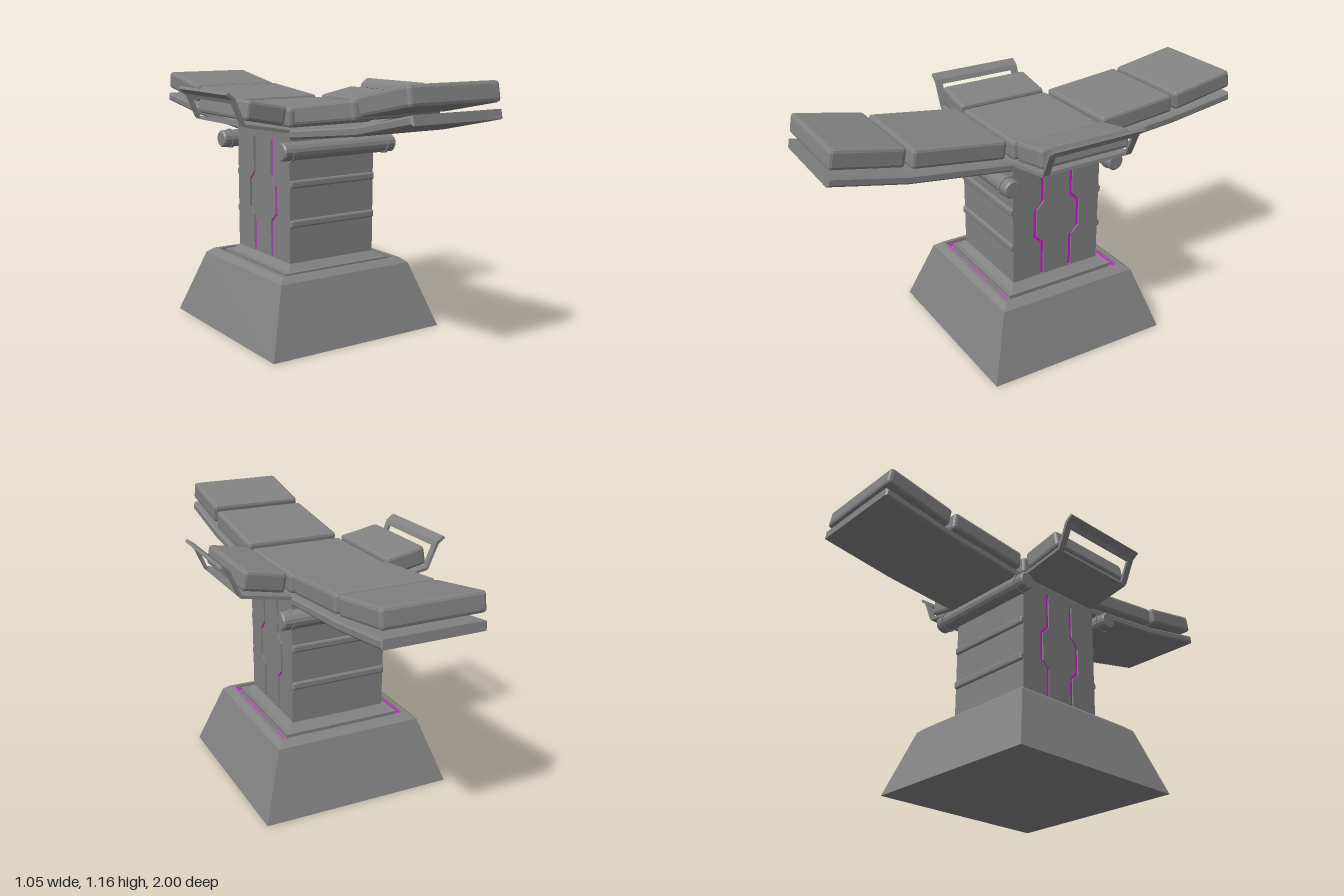
import * as THREE from 'three';
import { RoundedBoxGeometry } from 'three/addons/geometries/RoundedBoxGeometry.js';

const CZ = -0.025; // pedestal centre in z
const HALF = 0.223; // half width of column and bed

export function createModel() {
  const root = new THREE.Group();
  root.name = 'recliner';
  root.position.x = -0.0045;

  const grey = new THREE.MeshStandardMaterial({ color: 0x828282, flatShading: true });
  const glow = new THREE.MeshStandardMaterial({ color: 0xdd0fdd, flatShading: true });

  function add(parent, name, geometry, material = grey) {
    const mesh = new THREE.Mesh(geometry, material);
    mesh.name = name;
    parent.add(mesh);
    return mesh;
  }

  const toPoints = (list) => list.map(([x, y]) => new THREE.Vector2(x, y));

  // Extrusion centred on its depth
  function extrude(shape, width, bevel = 0) {
    const g = new THREE.ExtrudeGeometry(shape, {
      depth: width - 2 * bevel, bevelEnabled: bevel > 0, bevelSize: bevel,
      bevelOffset: -bevel, bevelThickness: bevel, bevelSegments: 1,
    });
    return g.translate(0, 0, -(width - 2 * bevel) / 2);
  }

  // Bent sheet of even thickness following a centre line
  function sheet(list, thickness, width, bevel = 0) {
    const p = toPoints(list);
    const upper = [], lower = [];
    p.forEach((pt, i) => {
      const dir = p[Math.min(i + 1, p.length - 1)].clone().sub(p[Math.max(i - 1, 0)]).normalize();
      const n = new THREE.Vector2(-dir.y, dir.x).multiplyScalar(thickness / 2);
      upper.unshift(pt.clone().add(n));
      lower.push(pt.clone().sub(n));
    });
    return extrude(new THREE.Shape([...lower, ...upper]), width, bevel);
  }

  // Stepped square base with a narrow channel around the column
  const profile = [[0, 0], [0.442, 0], [0.341, 0.293], [0.313, 0.315], [0.296, 0.315],
    [0.296, 0.298], [0.272, 0.298], [0.272, 0.315], [0.25, 0.315], [HALF, 0.342], [0, 0.342]];
  const base = add(root, 'base', new THREE.LatheGeometry(
    toPoints(profile.map(([r, y]) => [r * Math.SQRT2, y])), 4, Math.PI / 4));
  base.position.z = CZ;

  // Light strips lying in the base channel
  for (let i = 0; i < 4; i++) {
    const strip = new THREE.BoxGeometry(0.012, 0.006, 0.59).translate(0.289, 0.299, 0);
    const light = add(root, 'baseLight', strip, glow);
    light.position.z = CZ;
    light.rotation.y = i * Math.PI / 2;
  }

  // Column with two stepped slots through it, filled by slightly recessed lights
  const column = new THREE.Shape(toPoints([[-HALF, 0.335], [HALF, 0.335], [HALF, 0.9], [-HALF, 0.9]]));
  const path = [[0.074, 0.345], [0.074, 0.505], [0.111, 0.54], [0.111, 0.67], [0.074, 0.71], [0.074, 0.87]];
  for (const s of [-1, 1]) {
    const w = 0.008;
    const slot = toPoints([
      ...path.map(([z, y]) => [s * (z + w), y]),
      ...path.map(([z, y]) => [s * (z - w), y]).reverse(),
    ]);
    column.holes.push(new THREE.Path(slot));
    const light = add(root, 'columnLight',
      extrude(new THREE.Shape(slot), 2 * HALF - 0.014).rotateY(-Math.PI / 2), glow);
    light.position.z = CZ;
  }
  add(root, 'column', extrude(column, 2 * HALF).rotateY(-Math.PI / 2)).position.z = CZ;

  // Ribs and side rollers on the front and back of the column
  const rollerProfile = toPoints([[0, -0.293], [0.034, -0.293], [0.04, -0.286],
    [0.04, 0.286], [0.034, 0.293], [0, 0.293]]);
  for (const s of [-1, 1]) {
    for (const y of [0.518, 0.692]) {
      const rib = add(root, 'columnRib', new RoundedBoxGeometry(2 * HALF, 0.034, 0.034, 1, 0.008));
      rib.position.set(0, y, CZ + s * (HALF - 0.004));
    }
    const roller = new THREE.Group();
    roller.name = 'roller';
    roller.position.set(0, 0.843, CZ + s * 0.263);
    roller.rotation.z = Math.PI / 2;
    add(roller, 'rollerBar', new THREE.LatheGeometry(rollerProfile, 16));
    for (const t of [-1, 1]) {
      add(roller, 'rollerRing', new THREE.CylinderGeometry(0.045, 0.045, 0.012, 16)).position.y = t * 0.247;
    }
    root.add(roller);
  }

  // Bent bed plate running front to back
  add(root, 'bedPlate', sheet([[-0.997, 0.988], [-0.66, 0.942], [-0.247, 0.907],
    [0.2, 0.907], [0.667, 0.968], [0.996, 1.04]], 0.039, 2 * HALF, 0.008).rotateY(-Math.PI / 2));

  // Chamfered cushions: start and end of each centre line as z, y
  const cushions = [
    ['seatCushion', -0.243, 0.977, 0.194, 0.977],
    ['frontCushion', 0.226, 0.991, 0.648, 1.049],
    ['frontEndCushion', 0.673, 1.064, 0.98, 1.126],
    ['backCushion', -0.26, 0.986, -0.645, 1.022],
    ['backEndCushion', -0.665, 1.023, -0.985, 1.077],
  ];
  for (const [name, z0, y0, z1, y1] of cushions) {
    const length = Math.hypot(z1 - z0, y1 - y0);
    const pad = add(root, name, new RoundedBoxGeometry(2 * HALF - 0.002, 0.084, length, 1, 0.014));
    pad.position.set(0, (y0 + y1) / 2, (z0 + z1) / 2);
    pad.rotation.x = -Math.atan((y1 - y0) / (z1 - z0));
  }

  // Armrests: tray, cushion and open handle, turned round for the other side
  for (const side of ['left', 'right']) {
    const arm = new THREE.Group();
    arm.name = side + 'Armrest';
    arm.position.set(0.003, 0, CZ);
    arm.rotation.y = side === 'left' ? 0 : Math.PI;
    add(arm, 'armTray', sheet([[0.2, 0.916], [0.441, 0.958]], 0.014, 0.44));
    const pad = add(arm, 'armCushion', new RoundedBoxGeometry(0.194, 0.086, 0.436, 1, 0.014));
    pad.position.set(0.334, 1.004, 0);
    pad.rotation.z = 0.19;
    for (const s of [-1, 1]) {
      add(arm, 'handleUpright', sheet([[0.429, 0.956], [0.442, 0.96], [0.49, 1.07], [0.522, 1.093]],
        0.012, 0.032)).position.z = s * 0.204;
    }
    add(arm, 'handleGrip', sheet([[0.482, 1.052], [0.49, 1.07], [0.522, 1.093]], 0.014, 0.44));
    root.add(arm);
  }

  const model = new THREE.Group();
  model.name = 'reclinerTable';
  model.add(root);
  return model;
}
